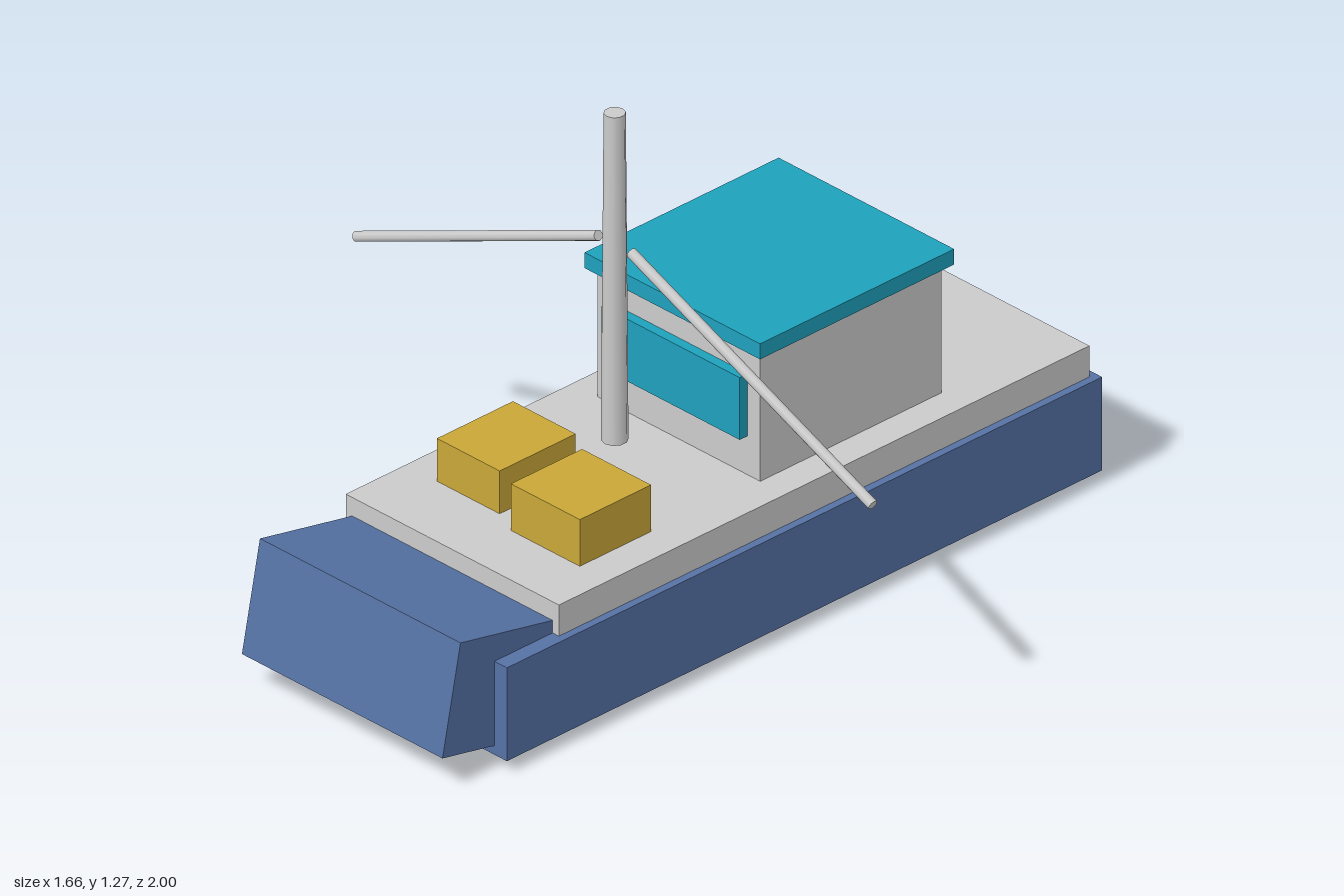
import * as THREE from 'three';

const material = (color) => new THREE.MeshStandardMaterial({ color });

export function createModel() {
  const model = new THREE.Group();
  model.name = 'fishingBoat';
  const grey = material(0xcccccc);
  const blue = material(0x5672a5);
  const teal = material(0x1ea1bc);
  const yellow = material(0xcaa738);

  const add = (name, geometry, mat, x, y, z) => {
    const mesh = new THREE.Mesh(geometry, mat);
    mesh.name = name;
    mesh.position.set(x, y, z);
    model.add(mesh);
    return mesh;
  };
  // Box given by its extents along each axis
  const box = (name, mat, [x0, x1], [y0, y1], [z0, z1]) =>
    add(name, new THREE.BoxGeometry(x1 - x0, y1 - y0, z1 - z0), mat,
      (x0 + x1) / 2, (y0 + y1) / 2, (z0 + z1) / 2);

  // Hull with an upward-tilted bow block
  box('hull', blue, [-0.36, 0.36], [0.035, 0.275], [-1, 0.84]);
  const bow = add('bow', new THREE.BoxGeometry(0.64, 0.28, 0.44), blue, 0, 0.184, 0.757);
  bow.rotation.x = -0.2;
  box('deck', grey, [-0.34, 0.34], [0.275, 0.355], [-0.98, 0.66]);

  // Wheelhouse
  box('cabin', grey, [-0.26, 0.26], [0.355, 0.685], [-0.6, -0.04]);
  box('roof', teal, [-0.28, 0.28], [0.685, 0.725], [-0.62, -0.02]);
  box('window', teal, [-0.22, 0.22], [0.455, 0.615], [-0.055, -0.015]);

  // Cargo on the foredeck
  box('rightCrate', yellow, [-0.24, -0.04], [0.355, 0.465], [0.24, 0.475]);
  box('leftCrate', yellow, [0.03, 0.25], [0.355, 0.475], [0.288, 0.508]);

  // Mast and the two outrigger booms
  add('mast', new THREE.CylinderGeometry(0.025, 0.031, 0.84, 10), grey, 0, 0.855, 0.158);
  for (const side of [1, -1]) {
    const boom = add(side > 0 ? 'leftBoom' : 'rightBoom',
      new THREE.CylinderGeometry(0.013, 0.013, 0.838, 8), grey, side * 0.438, 0.774, 0.158);
    boom.rotation.z = side * (Math.PI / 2 - 0.4);
  }
  return model;
}
